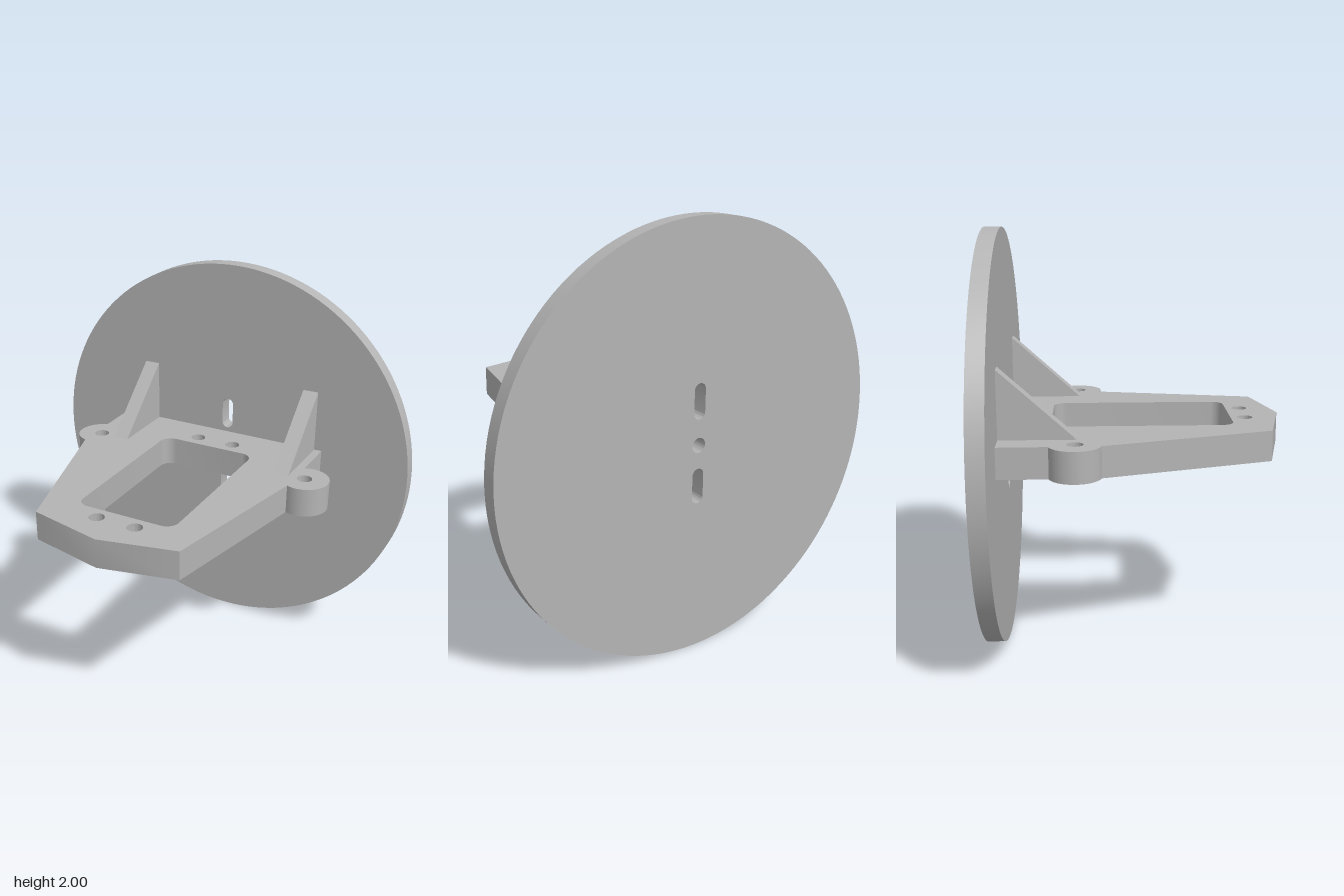
import * as THREE from 'three';
import { toCreasedNormals } from 'three/addons/utils/BufferGeometryUtils.js';

const grey = new THREE.MeshStandardMaterial({ color: 0xb4b4b4 });
grey.name = 'plain grey';

function circleHole(x, y, r) {
  return new THREE.Path().absarc(x, y, r, 0, Math.PI * 2, true);
}

// Rounded rectangle; a radius of half the width makes a slot
function roundedHole(x0, y0, x1, y1, r) {
  const p = new THREE.Path();
  p.absarc(x0 + r, y0 + r, r, Math.PI, Math.PI * 1.5, false);
  p.absarc(x1 - r, y0 + r, r, Math.PI * 1.5, Math.PI * 2, false);
  p.absarc(x1 - r, y1 - r, r, 0, Math.PI / 2, false);
  p.absarc(x0 + r, y1 - r, r, Math.PI / 2, Math.PI, false);
  p.closePath();
  return p;
}

function extrude(shape, depth, curveSegments) {
  return new THREE.ExtrudeGeometry(shape, { depth, curveSegments, bevelEnabled: false });
}

export function createModel() {
  const model = new THREE.Group();
  model.name = 'mountingBracket';
  function add(name, geometry) {
    const mesh = new THREE.Mesh(toCreasedNormals(geometry, 0.5), grey);
    mesh.name = name;
    model.add(mesh);
  }

  // Round back disc with two slots and a centre hole
  const disc = new THREE.Shape().absarc(0, 1, 1, 0, Math.PI * 2, false);
  disc.holes.push(
    roundedHole(-0.03, 1.12, 0.03, 1.285, 0.03),
    roundedHole(-0.03, 0.725, 0.03, 0.89, 0.03),
    circleHole(0, 1, 0.035)
  );
  add('backDisc', extrude(disc, 0.08, 64).translate(0, 0, -0.708));

  // Horizontal tray outline in x and z, with a round ear on each side
  const tray = new THREE.Shape();
  tray.moveTo(-0.622, -0.63);
  tray.lineTo(0.54, -0.63);
  tray.absarc(0.585, -0.285, 0.12, -1.956, 1.99, false);
  tray.lineTo(0.373, 0.618);
  tray.lineTo(0, 0.703);
  tray.lineTo(-0.373, 0.618);
  tray.absarc(-0.585, -0.285, 0.12, 1.82, 4.41, false);
  tray.closePath();

  // Central window, four screw holes and two ear holes
  tray.holes.push(roundedHole(-0.255, -0.405, 0.252, 0.46, 0.06));
  for (const x of [-0.1, 0.1]) {
    for (const z of [-0.48, 0.53]) tray.holes.push(circleHole(x, z, 0.037));
  }
  for (const x of [-0.583, 0.583]) tray.holes.push(circleHole(x, -0.285, 0.037));
  add('tray', extrude(tray, 0.145, 20).rotateX(Math.PI / 2).translate(0, 1.097, 0));

  // Triangular ribs bracing the tray against the disc
  const rib = new THREE.Shape([
    new THREE.Vector2(0.275, 1.095),
    new THREE.Vector2(0.63, 1.095),
    new THREE.Vector2(0.63, 1.415),
  ]);
  for (const [name, x] of [['leftRib', 0.46], ['rightRib', -0.46]]) {
    add(name, extrude(rib, 0.08, 1).translate(0, 0, -0.04).rotateY(Math.PI / 2).translate(x, 0, 0));
  }

  return model;
}
